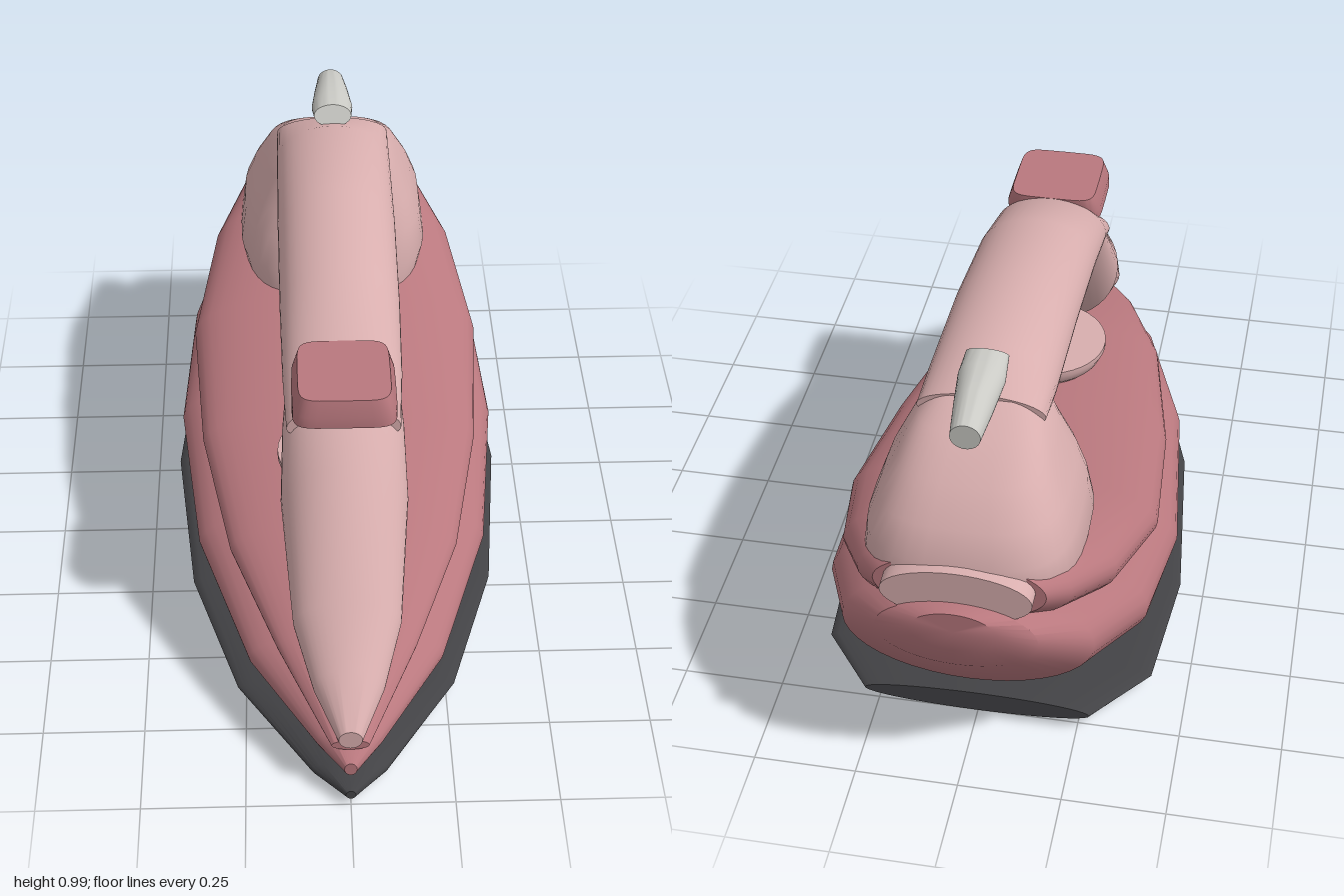
import * as THREE from 'three';
import { toCreasedNormals } from 'three/addons/utils/BufferGeometryUtils.js';

const mat = (name, color) => {
  const m = new THREE.MeshStandardMaterial({ color });
  m.name = name;
  return m;
};

// Rounded cross-sections [halfWidth, z0, y0, z1, y1] running between a lower and an upper centre point.
// mid: where the widest line sits; n / nLow: roundness of the upper and lower half.
function loft(sections, { mid = 0.5, n = 2, nLow = n, crease = 0.75, seg = 40 } = {}) {
  const pos = [], idx = [];
  for (const [hw, z0, y0, z1, y1] of sections) {
    for (let j = 0; j < seg; j++) {
      const a = (j / seg) * Math.PI * 2, c = Math.cos(a), s = Math.sin(a);
      const e = 2 / (s >= 0 ? n : nLow);
      const x = hw * Math.sign(c) * Math.abs(c) ** e;
      const r = Math.abs(s) ** e;
      const t = s >= 0 ? mid + (1 - mid) * r : mid - mid * r;
      pos.push(x, y0 + (y1 - y0) * t, z0 + (z1 - z0) * t);
    }
  }
  const last = sections.length - 1;
  for (let i = 0; i < last; i++) {
    for (let j = 0; j < seg; j++) {
      const k = (j + 1) % seg;
      const a = i * seg + j, b = i * seg + k, c = a + seg, d = b + seg;
      idx.push(a, c, b, b, c, d);
    }
  }
  // End caps
  for (const i of [0, last]) {
    const [, z0, y0, z1, y1] = sections[i], centre = pos.length / 3;
    pos.push(0, y0 + (y1 - y0) * mid, z0 + (z1 - z0) * mid);
    for (let j = 0; j < seg; j++) {
      const a = i * seg + j, b = i * seg + (j + 1) % seg;
      if (i === 0) idx.push(centre, a, b);
      else idx.push(centre, b, a);
    }
  }
  const g = new THREE.BufferGeometry();
  g.setAttribute('position', new THREE.Float32BufferAttribute(pos, 3));
  g.setIndex(idx);
  return toCreasedNormals(g, crease);
}

// Upright slices [z, halfWidth, yBottom, yTop], front to back
const upright = (rows) => rows.map(([z, hw, y0, y1]) => [hw, z, y0, z, y1]);
// Level slices [y, halfWidth, zBack, zFront], bottom to top
const level = (rows) => rows.map(([y, hw, z0, z1]) => [hw, z0, y, z1, y]);

export function createModel() {
  const group = new THREE.Group();
  const rose = mat('rose plastic', 0xb9787e);
  const pale = mat('pale pink plastic', 0xd8aeae);
  const dark = mat('dark metal', 0x424245);
  const grey = mat('light grey rubber', 0xcacac5);
  const add = (name, geometry, material) => {
    const m = new THREE.Mesh(geometry, material);
    m.name = name;
    group.add(m);
    return m;
  };

  add('soleplate', loft(upright([
    [1, 0.012, 0.02, 0.045], [0.92, 0.09, 0.003, 0.06], [0.64, 0.27, 0, 0.065],
    [0.25, 0.39, 0, 0.065], [-0.25, 0.44, 0, 0.065], [-0.6, 0.41, 0.01, 0.072],
    [-0.77, 0.28, 0.02, 0.078],
  ])), dark);

  add('lowerBody', loft(upright([
    [0.98, 0.015, 0.08, 0.118], [0.9, 0.08, 0.072, 0.155], [0.65, 0.24, 0.066, 0.225],
    [0.25, 0.37, 0.062, 0.29], [-0.25, 0.425, 0.066, 0.32], [-0.6, 0.395, 0.1, 0.44],
    [-0.85, 0.3, 0.21, 0.53], [-0.97, 0.19, 0.375, 0.565], [-1, 0.1, 0.45, 0.56],
  ])), rose);

  add('upperBody', loft(upright([
    [0.95, 0.045, 0.135, 0.165], [0.7, 0.17, 0.18, 0.28], [0.4, 0.285, 0.2, 0.365],
    [0, 0.36, 0.22, 0.4], [-0.4, 0.388, 0.245, 0.5], [-0.7, 0.33, 0.34, 0.61],
    [-0.87, 0.25, 0.44, 0.655], [-0.925, 0.2, 0.49, 0.655],
  ])), rose);

  // Front pillar, leaning back from the nose up to the handle
  add('frontPillar', loft([
    [0.028, 0.96, 0.15, 0.96, 0.203], [0.085, 0.85, 0.18, 0.85, 0.3],
    [0.13, 0.7, 0.24, 0.73, 0.4], [0.155, 0.43, 0.36, 0.53, 0.65],
    [0.148, 0.32, 0.57, 0.42, 0.72], [0.135, 0.24, 0.73, 0.36, 0.77],
  ]), pale);

  add('handle', loft(upright([
    [0.415, 0.138, 0.645, 0.74], [0.29, 0.146, 0.69, 0.84], [0.08, 0.15, 0.74, 0.91],
    [-0.22, 0.152, 0.78, 0.95], [-0.52, 0.152, 0.79, 0.96], [-0.65, 0.15, 0.84, 0.91],
  ]), { mid: 0.35, nLow: 2.3 }), pale);

  // Rear housing that carries the handle
  add('rearHousing', loft(level([
    [0.48, 0.235, -0.92, -0.4], [0.56, 0.256, -0.945, -0.405], [0.65, 0.243, -0.945, -0.43],
    [0.72, 0.218, -0.9, -0.45], [0.8, 0.178, -0.84, -0.475], [0.86, 0.145, -0.74, -0.49],
    [0.9, 0.1, -0.66, -0.51],
  ]), { n: 3.2 }), pale);

  add('rearSocket', loft(upright([[-0.88, 0.175, 0.51, 0.66], [-0.965, 0.175, 0.51, 0.65]])), pale);

  add('cordSleeve', loft([
    [0.05, -0.55, 0.94, -0.58, 0.99], [0.055, -0.63, 0.905, -0.64, 0.992],
    [0.046, -0.72, 0.89, -0.73, 0.988], [0.035, -0.825, 0.895, -0.825, 0.96],
  ]), grey);

  // Thumb button: rounded plate, slightly narrower at the top
  add('thumbButton', loft(level([
    [0.77, 0.125, 0.3, 0.532], [0.8, 0.124, 0.285, 0.532], [0.842, 0.11, 0.285, 0.52],
  ]), { n: 6 }), rose);

  // Temperature dial
  const dialProfile = [[0, 0.37], [0.1, 0.37], [0.13, 0.385], [0.15, 0.405], [0.162, 0.43], [0.162, 0.445], [0, 0.445]];
  const dial = add('temperatureDial', toCreasedNormals(
    new THREE.LatheGeometry(dialProfile.map(([r, y]) => new THREE.Vector2(r, y)), 40), 0.75), pale);
  dial.position.z = 0.21;

  return group;
}
